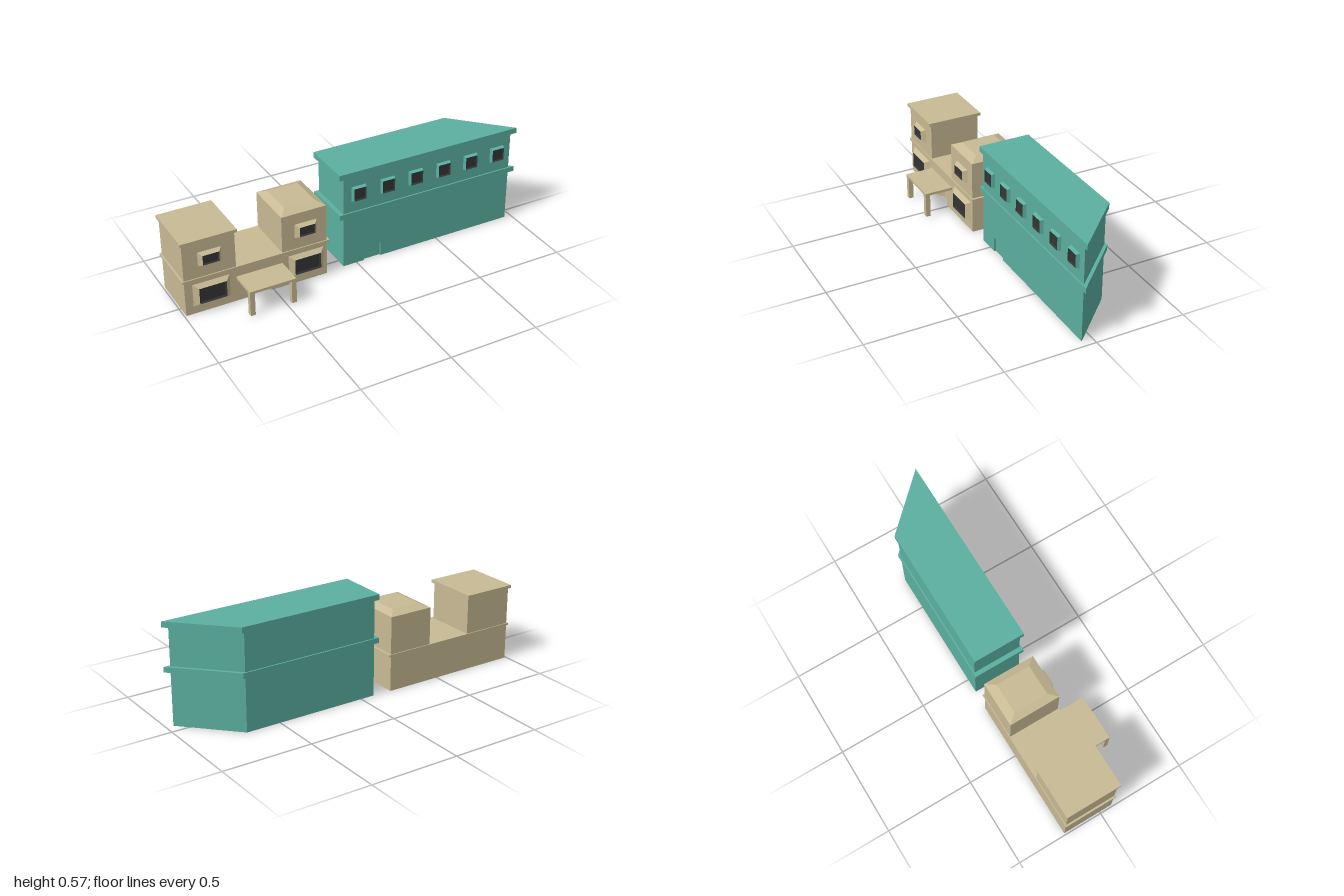
import * as THREE from 'three';

const mat = (name, color) => new THREE.MeshStandardMaterial({ name, color });

export function createModel() {
  const teal = mat('teal plaster', 0x5bb0a0);
  const tan = mat('tan plaster', 0xc8ba94);
  const dark = mat('dark glass', 0x343434);
  const root = new THREE.Group();
  root.name = 'buildings';

  const add = (parent, name, geometry, material) => {
    const mesh = new THREE.Mesh(geometry, material);
    mesh.name = name;
    parent.add(mesh);
    return mesh;
  };

  const group = (parent, name) => {
    const g = new THREE.Group();
    g.name = name;
    parent.add(g);
    return g;
  };

  // Box given by its limits
  const box = (parent, name, material, x0, x1, y0, y1, z0, z1) => {
    const mesh = add(parent, name, new THREE.BoxGeometry(x1 - x0, y1 - y0, z1 - z0), material);
    mesh.position.set((x0 + x1) / 2, (y0 + y1) / 2, (z0 + z1) / 2);
    return mesh;
  };

  // Floor plan of [x, z] points raised from y0 to y1
  const storey = (parent, name, material, plan, y0, y1) => {
    const shape = new THREE.Shape(plan.map(([x, z]) => new THREE.Vector2(x, -z)));
    const geometry = new THREE.ExtrudeGeometry(shape, { depth: y1 - y0, bevelEnabled: false });
    geometry.rotateX(-Math.PI / 2).translate(0, y0, 0);
    return add(parent, name, geometry, material);
  };

  // Rectangular rings [width, height, z] joined along z, with a cap on the last if wanted
  const loft = (rings, cap) => {
    const corners = rings.map(([w, h, z]) =>
      [[-1, -1], [1, -1], [1, 1], [-1, 1]].map(([sx, sy]) => [sx * w / 2, sy * h / 2, z]));
    const pos = [];
    const quad = (a, b, c, d) => pos.push(...a, ...b, ...c, ...a, ...c, ...d);
    for (let r = 0; r + 1 < corners.length; r++) {
      for (let i = 0; i < 4; i++) {
        const j = (i + 1) % 4;
        quad(corners[r][i], corners[r][j], corners[r + 1][j], corners[r + 1][i]);
      }
    }
    if (cap) quad(...corners[corners.length - 1]);
    const geometry = new THREE.BufferGeometry();
    geometry.setAttribute('position', new THREE.Float32BufferAttribute(pos, 3));
    geometry.computeVertexNormals();
    return geometry;
  };

  // Tapered frame standing out from the wall, with a recessed dark pane
  const framedWindow = (parent, name, material, x, y, z, outer, inner, depth, inset) => {
    const g = group(parent, name);
    g.position.set(x, y, z);
    add(g, name + 'Frame', loft([[...outer, 0], [...inner, depth]], false), material);
    const pane = [inner[0] - inset, inner[1] - inset, depth - 0.008];
    add(g, name + 'Pane', loft([[...inner, depth], pane], true), dark);
  };

  // ---- Long building with a slanted end ----
  const hall = group(root, 'longBuilding');
  const wall = [[-0.08, -0.215], [0.695, -0.215], [0.96, 0.06], [-0.08, 0.06]];
  const doorway = [[0.045, 0.06], [0.045, 0.05], [0.147, 0.05], [0.147, 0.06]];
  const wallWithDoor = [...wall.slice(0, 3), ...doorway.reverse(), wall[3]];
  const rim = [[-0.105, -0.223], [0.71, -0.223], [0.993, 0.068], [-0.105, 0.068]];
  storey(hall, 'doorStorey', teal, wallWithDoor, 0, 0.083);
  storey(hall, 'upperWalls', teal, wall, 0.083, 0.535);
  storey(hall, 'middleLedge', teal, rim, 0.297, 0.326);
  storey(hall, 'roofSlab', teal, rim, 0.535, 0.566);
  for (let i = 0; i < 6; i++) {
    framedWindow(hall, 'hallWindow', teal, 0.011 + i * 0.1725, 0.433, 0.06,
      [0.085, 0.085], [0.073, 0.073], 0.019, 0.012);
  }

  // ---- Small building with two towers ----
  const house = group(root, 'towerBuilding');
  const back = -0.22, front = 0.073;
  const alcove = [[-0.515, front], [-0.54, 0.04], [-0.613, 0.04], [-0.638, front]];
  storey(house, 'entranceStorey', tan,
    [[-0.99, back], [-0.187, back], [-0.187, front], ...alcove, [-0.99, front]], 0, 0.135);
  box(house, 'upperWall', tan, -0.99, -0.187, 0.135, 0.198, back, front);
  box(house, 'terraceLedge', tan, -1, -0.173, 0.198, 0.21, -0.225, 0.079);

  // Towers and their roofs
  box(house, 'rightTower', tan, -0.99, -0.705, 0.21, 0.42, back, front);
  box(house, 'rightTowerRoof', tan, -1, -0.695, 0.42, 0.437, -0.233, 0.086);
  box(house, 'leftTower', tan, -0.445, -0.187, 0.21, 0.42, back, front);
  const hip = loft([[0.258, 0.293, 0], [0.172, 0.195, 0.021]], true).rotateX(-Math.PI / 2);
  add(house, 'leftTowerHipRoof', hip, tan).position.set(-0.316, 0.42, -0.0735);

  // Windows on both wings
  for (const x of [-0.845, -0.308]) {
    framedWindow(house, 'lowerWindow', tan, x, 0.11, front,
      [0.204, 0.13], [0.15, 0.092], 0.024, 0.016);
    framedWindow(house, 'upperWindow', tan, x, 0.317, front,
      [0.127, 0.08], [0.09, 0.056], 0.024, 0.01);
  }

  // Entrance canopy on two posts
  box(house, 'canopy', tan, -0.706, -0.446, 0.134, 0.148, front, 0.234);
  for (const x of [-0.706, -0.473]) {
    box(house, 'canopyPost', tan, x, x + 0.027, 0.003, 0.134, 0.207, 0.234);
  }

  return root;
}
